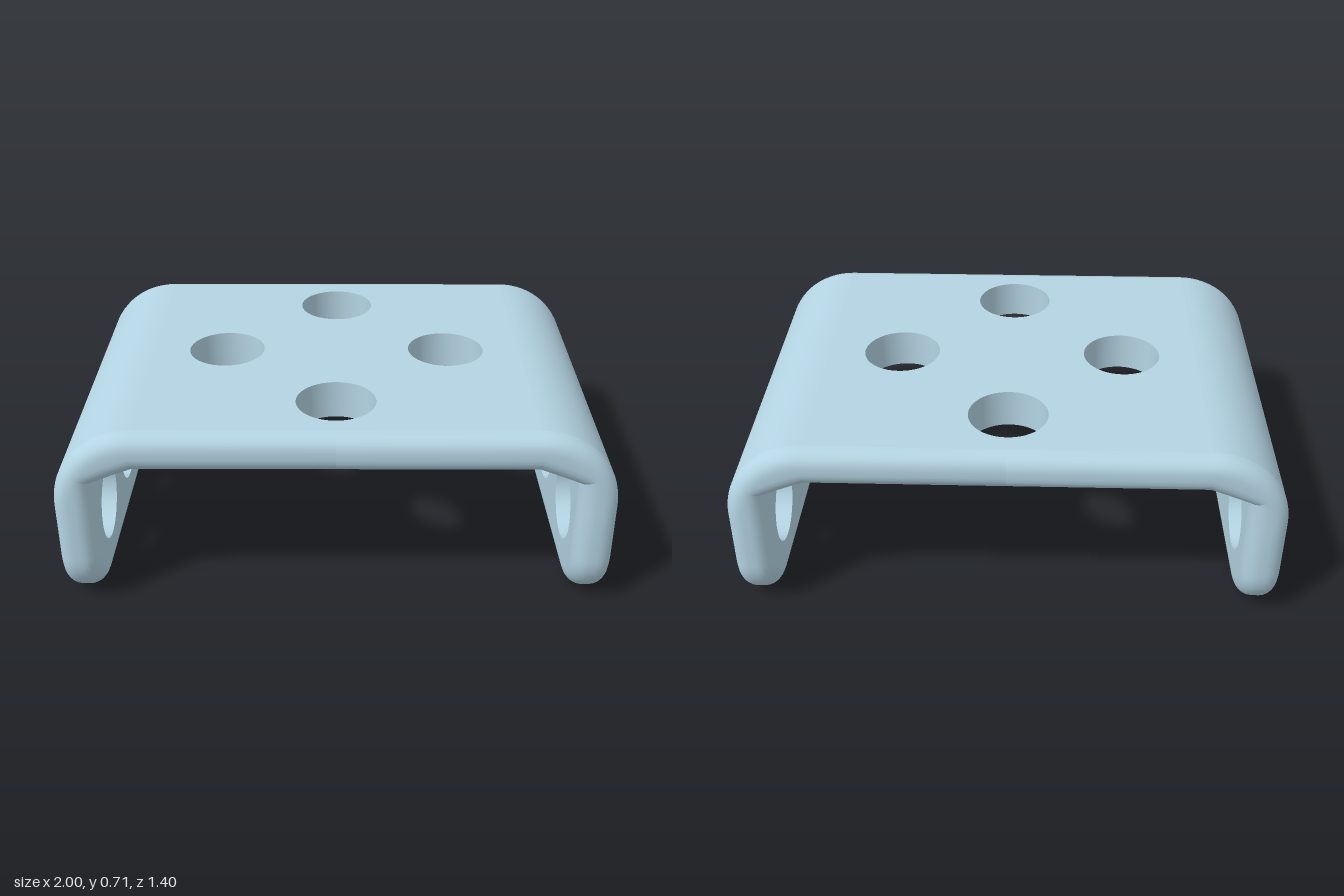
import * as THREE from 'three';
import { toCreasedNormals } from 'three/addons/utils/BufferGeometryUtils.js';

const T = 0.145;               // sheet thickness
const R = 0.06;                // edge rounding
const HOLE = 0.145;            // hole radius
const TOP = 0.71, DEPTH = 0.7; // height and half depth
const E = DEPTH - R;           // half depth of the flat faces
const BX = 0.71, BY = 0.42, BR = 0.29; // bend centre and outer radius
const CORNER = 0.2;            // leg corner radius

const V = (x, y, z) => new THREE.Vector3(x, y, z);

// Surface through rows of points
function loft(rows) {
  const w = rows[0].length, index = [];
  for (let i = 0; i < rows.length - 1; i++) {
    for (let j = 0; j < w - 1; j++) {
      const a = i * w + j, b = a + w;
      index.push(a, a + 1, b, a + 1, b + 1, b);
    }
  }
  const g = new THREE.BufferGeometry().setFromPoints(rows.flat());
  g.setIndex(index);
  return toCreasedNormals(g, 0.35);
}

// Flat panel with round holes
function panel(shape, holes) {
  for (const [x, y] of holes) {
    shape.holes.push(new THREE.Path().absarc(x, y, HOLE, 0, Math.PI * 2, true));
  }
  const g = new THREE.ExtrudeGeometry(shape, { depth: T, bevelEnabled: false, curveSegments: 32 });
  return toCreasedNormals(g, 0.5);
}

// Bend section: round outside, chamfered inside, from the top down to the leg
function bendProfile() {
  const points = [], n = 17;
  for (let i = 0; i <= n; i++) {
    const a = (1 - i / n) * Math.PI / 2, c = Math.cos(a), s = Math.sin(a);
    const q = Math.min(T / Math.max(c, 1e-6), T / (s + 0.379 * c));
    points.push({ o: [BX + BR * c, BY + BR * s], i: [BX + q * c, BY + q * s] });
  }
  return points;
}

// Rounded rim from the middle of the front edge, round the leg, to the back
function rimGeometry(profile) {
  const half = [{ o: [0, TOP], i: [0, TOP - T] }, ...profile].map(p => ({
    o: V(...p.o, E), i: V(...p.i, E), n: V(0, 0, 1),
  }));
  const k = CORNER - R;
  for (let i = 0; i <= 10; i++) {
    const a = i / 10 * Math.PI / 2, c = Math.cos(a), s = Math.sin(a);
    const y = CORNER - k * s, z = DEPTH - CORNER + k * c;
    half.push({ o: V(1, y, z), i: V(1 - T, y, z), n: V(0, -s, c) });
  }
  const flip = v => V(v.x, v.y, -v.z);
  const back = half.map(s => ({ o: flip(s.o), i: flip(s.i), n: flip(s.n) })).reverse();
  return loft([...half, ...back].map(({ o, i, n }) => {
    const d = i.clone().sub(o).normalize(), outer = [], inner = [];
    for (let j = 0; j <= 6; j++) {
      const a = j / 6 * Math.PI / 2, out = R * Math.sin(a), into = R * (1 - Math.cos(a));
      outer.push(o.clone().addScaledVector(n, out).addScaledVector(d, into));
      inner.unshift(i.clone().addScaledVector(n, out).addScaledVector(d, -into));
    }
    return [...outer, ...inner];
  }));
}

export function createModel() {
  const group = new THREE.Group();
  const material = new THREE.MeshStandardMaterial({ color: 0xb4d4e3 });
  const add = (parent, name, geometry) => {
    const mesh = new THREE.Mesh(geometry, material);
    mesh.name = name;
    parent.add(mesh);
  };

  // Top plate with four holes
  const top = new THREE.Shape([[-BX, -E], [BX, -E], [BX, E], [-BX, E]].map(p => new THREE.Vector2(...p)));
  const topGeometry = panel(top, [[0.425, 0], [-0.425, 0], [0, 0.425], [0, -0.425]]);
  add(group, 'topPlate', topGeometry.rotateX(-Math.PI / 2).translate(0, TOP - T, 0));

  // Leg panel with rounded lower corners and three holes
  const leg = new THREE.Shape(), c = DEPTH - CORNER, k = CORNER - R;
  leg.moveTo(E, BY);
  leg.lineTo(-E, BY);
  leg.absarc(-c, CORNER, k, Math.PI, Math.PI * 1.5, false);
  leg.absarc(c, CORNER, k, Math.PI * 1.5, Math.PI * 2, false);
  const legGeometry = panel(leg, [-0.425, 0, 0.425].map(z => [z, 0.285]));
  legGeometry.rotateY(Math.PI / 2).translate(1 - T, 0, 0);

  // Bend and rim
  const profile = bendProfile();
  const outerBend = loft(profile.map(p => [V(...p.o, -E), V(...p.o, E)]));
  const innerBend = loft(profile.map(p => [V(...p.i, E), V(...p.i, -E)]));
  const rim = rimGeometry(profile);

  // Both sides, the second turned half way round
  for (const [side, angle] of [['left', 0], ['right', Math.PI]]) {
    const half = new THREE.Group();
    half.name = side + 'Side';
    half.rotation.y = angle;
    add(half, side + 'Leg', legGeometry);
    add(half, side + 'OuterBend', outerBend);
    add(half, side + 'InnerBend', innerBend);
    add(half, side + 'Rim', rim);
    group.add(half);
  }
  return group;
}
